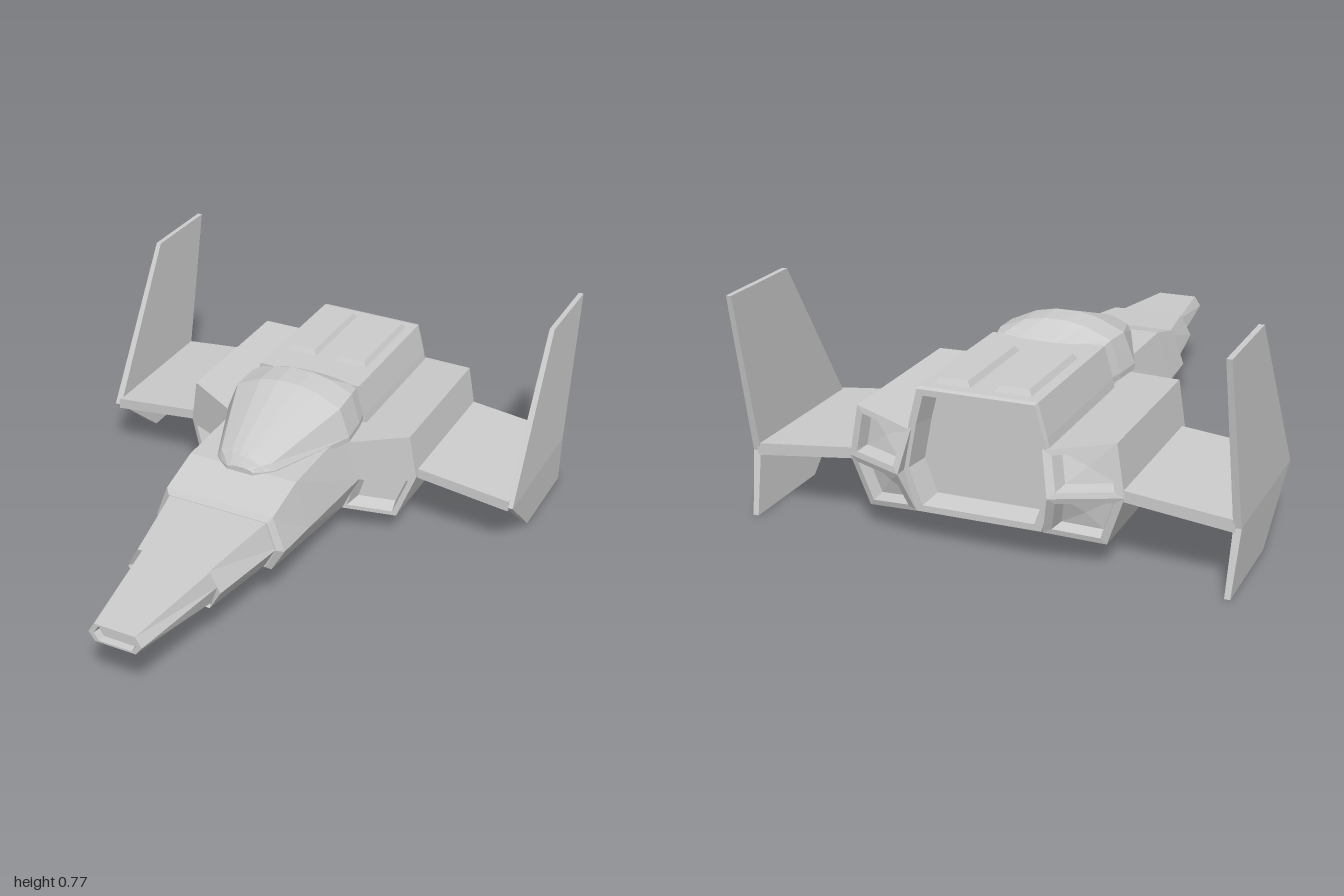
import * as THREE from 'three';

const material = new THREE.MeshStandardMaterial({ color: 0xcccccc, flatShading: true, side: THREE.DoubleSide });

// Skin a list of rings (each counter-clockwise seen from the first ring's end) and cap both ends
function loft(name, rings) {
  const pos = [];
  const tri = (a, b, c) => pos.push(...a, ...b, ...c);
  const n = rings[0].length;
  for (let i = 0; i < rings.length - 1; i++) {
    for (let j = 0; j < n; j++) {
      const k = (j + 1) % n;
      const [a, b, c, d] = [rings[i][j], rings[i][k], rings[i + 1][k], rings[i + 1][j]];
      tri(a, d, b);
      tri(b, d, c);
    }
  }
  const first = rings[0], last = rings[rings.length - 1];
  const c0 = centre(first), c1 = centre(last);
  for (let j = 0; j < n; j++) {
    const k = (j + 1) % n;
    tri(c0, first[j], first[k]);
    tri(c1, last[k], last[j]);
  }
  const geometry = new THREE.BufferGeometry();
  geometry.setAttribute('position', new THREE.Float32BufferAttribute(pos, 3));
  geometry.computeVertexNormals();
  const mesh = new THREE.Mesh(geometry, material);
  mesh.name = name;
  return mesh;
}

const centre = (ring) => [0, 1, 2].map((i) => ring.reduce((s, p) => s + p[i], 0) / ring.length);

// Shrink a ring about its centre and move it along z
function inset(ring, factor, dz = 0) {
  const c = centre(ring);
  return ring.map((p) => p.map((v, i) => c[i] + (v - c[i]) * factor + (i === 2 ? dz : 0)));
}

const mirror = (rings) => rings.map((r) => r.map(([x, y, z]) => [-x, y, z]).reverse());

// Symmetric ring from its right half, listed bottom to top
function symmetric(half, z) {
  const other = half.filter(([x]) => x > 0).reverse().map(([x, y]) => [-x, y]);
  return [...half, ...other].map(([x, y]) => [x, y, z]);
}

// Six-sided hull section
const hex = (z, wTop, wMid, wBottom, top, mid, bottom) =>
  symmetric([[wBottom, bottom], [wMid, mid], [wTop, top]], z);

export function createModel() {
  const model = new THREE.Group();
  model.name = 'spacecraft';
  const pair = (name, rings) => {
    model.add(loft('left' + name, rings), loft('right' + name, mirror(rings)));
  };

  // Stepped nose with a recessed tip
  const tip = hex(1, 0.075, 0.098, 0.075, 0.288, 0.252, 0.22);
  model.add(loft('noseTip', [
    inset(tip, 0.75, -0.025), inset(tip, 0.8), tip,
    hex(0.6, 0.132, 0.15, 0.132, 0.312, 0.25, 0.185),
  ]));
  model.add(loft('noseMiddle', [
    hex(0.61, 0.125, 0.15, 0.125, 0.31, 0.25, 0.185),
    hex(0.635, 0.135, 0.175, 0.135, 0.326, 0.25, 0.178),
    hex(0.31, 0.19, 0.225, 0.185, 0.352, 0.25, 0.175),
  ]));

  // Cockpit section of the hull
  model.add(loft('forwardHull', [
    hex(0.335, 0.19, 0.225, 0.185, 0.352, 0.25, 0.17),
    hex(0.32, 0.205, 0.25, 0.2, 0.37, 0.245, 0.156),
    hex(0.15, 0.207, 0.256, 0.207, 0.415, 0.24, 0.142),
    hex(-0.22, 0.21, 0.275, 0.225, 0.42, 0.235, 0.113),
    hex(-0.45, 0.21, 0.275, 0.225, 0.42, 0.235, 0.112),
  ]));

  // Aft hull with raised spine and a deep engine opening
  const aft = (z) => symmetric([[0.215, 0.112], [0.265, 0.25], [0.23, 0.42], [0.2, 0.53]], z);
  model.add(loft('aftHull', [
    aft(-0.37), aft(-0.925), inset(aft(-0.94), 0.98), inset(aft(-0.94), 0.88), inset(aft(-0.94), 0.82, 0.08),
  ]));

  // Raised panels on the spine
  const panel = (y, b) => [
    [0.166 - b, y, -0.51 - b], [0.166 - b, y, -0.89 + b], [0.038 + b, y, -0.89 + b], [0.038 + b, y, -0.51 - b],
  ];
  pair('SpinePanel', [panel(0.548, 0.015), panel(0.525, 0)]);

  // Faceted canopy
  const canopy = (z, w, shoulderX, shoulderY, top) => symmetric([
    [w, 0.4], [w, 0.42], [shoulderX, shoulderY],
    [shoulderX * 0.55, shoulderY + (top - shoulderY) * 0.72],
    [shoulderX * 0.2, shoulderY + (top - shoulderY) * 0.97],
  ], z);
  model.add(loft('canopy', [
    canopy(0.172, 0.05, 0.04, 0.425, 0.43),
    canopy(0.15, 0.085, 0.07, 0.44, 0.462),
    canopy(0.12, 0.115, 0.1, 0.445, 0.472),
    canopy(-0.2, 0.245, 0.205, 0.525, 0.582),
    canopy(-0.31, 0.235, 0.2, 0.53, 0.582),
    canopy(-0.4, 0.215, 0.185, 0.515, 0.53),
  ]));

  // Engine pods: an upper and a lower half, with recessed ends
  const frontZ = ([x, y]) => [x, y, -0.215 - (x - 0.25) * 0.45];
  const upper = [[0.25, 0.25], [0.465, 0.25], [0.437, 0.42], [0.22, 0.388]];
  const lower = [[0.215, 0.113], [0.405, 0.083], [0.465, 0.25], [0.25, 0.25]];
  const upperBack = [-0.985, -0.895, -0.885, -0.945].map((z, i) => [...upper[i], z]);
  const lowerBack = [-0.935, -0.885, -0.895, -0.985].map((z, i) => [...lower[i], z]);
  const backRecess = (ring) => [ring, inset(ring, 0.76), inset(ring, 0.66, 0.05)];
  const intake = lower.map(frontZ);
  pair('UpperPod', [upper.map(frontZ), ...backRecess(upperBack)]);
  pair('LowerPod', [inset(intake, 0.66, -0.06), inset(intake, 0.8), intake, ...backRecess(lowerBack)]);

  // Short drooping wings
  const wing = (z) => [[0.43, 0.24], [0.81, 0.195], [0.81, 0.236], [0.43, 0.277]].map(([x, y]) => [x, y, z]);
  pair('Wing', [wing(-0.335), wing(-0.893)]);

  // Wing-tip fins, swept above and below the wing
  const fin = (y, inner, outer, front, back) => [
    [outer, y, front], [outer, y, back], [inner, y, back], [inner, y, front],
  ];
  pair('Fin', [
    fin(0.77, 0.798, 0.816, -0.67, -1),
    fin(0.21, 0.802, 0.828, -0.335, -0.89),
    fin(0, 0.795, 0.814, -0.58, -0.94),
  ]);

  return model;
}
